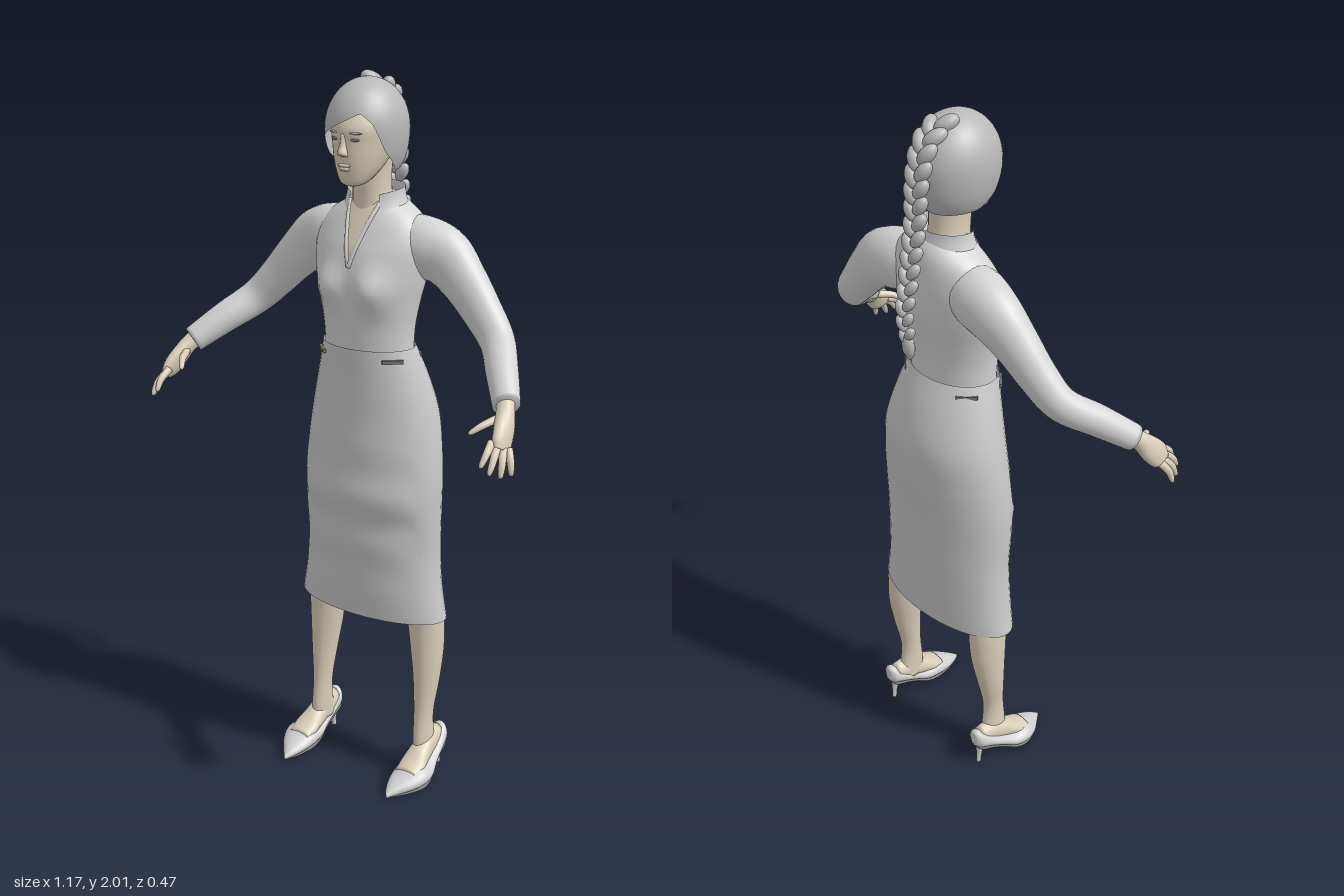
import * as THREE from 'three';

const V = (x, y, z) => new THREE.Vector3(x, y, z);
const X = V(1, 0, 0), Y = V(0, 1, 0), Z = V(0, 0, 1);
const mat = (name, color) => new THREE.MeshStandardMaterial({ name, color, side: THREE.DoubleSide });

// Catmull-Rom value of a list of rows at t in 0..1
function sample(rows, t) {
  const f = t * (rows.length - 1), i = Math.min(Math.floor(f), rows.length - 2), k = f - i;
  const at = (j) => rows[Math.max(0, Math.min(rows.length - 1, j))];
  return rows[0].map((_, c) => {
    const [a, b, d, e] = [at(i - 1)[c], at(i)[c], at(i + 1)[c], at(i + 2)[c]];
    return b + 0.5 * k * (d - a + k * (2 * a - 5 * b + 4 * d - e + k * (3 * (b - d) + e - a)));
  });
}

// Indexed surface from a grid of points
function grid(nu, nv, point, wrap = false) {
  const pos = [], idx = [], cols = wrap ? nv : nv + 1;
  for (let i = 0; i <= nu; i++) for (let j = 0; j < cols; j++) pos.push(...point(i / nu, j / nv).toArray());
  for (let i = 0; i < nu; i++) for (let j = 0; j < nv; j++) {
    const a = i * cols + j, b = i * cols + (j + 1) % cols;
    idx.push(a, b, a + cols, b, b + cols, a + cols);
  }
  const g = new THREE.BufferGeometry();
  g.setAttribute('position', new THREE.Float32BufferAttribute(pos, 3));
  g.setIndex(idx);
  g.computeVertexNormals();
  return g;
}

// Elliptical loft through rows [x, y, z, radiusU, radiusV]; zero-size end rings close it
function loft(rows, { u, v, steps = 36, seg = 28, open = false, bend } = {}) {
  const centre = (t) => V(...sample(rows, t).slice(0, 3));
  const extra = open ? 0 : 1, total = steps + 2 * extra;
  return grid(total, seg, (s, q) => {
    const i = Math.round(s * total), t = Math.max(0, Math.min(1, (i - extra) / steps));
    const r = sample(rows, t), size = !open && (i === 0 || i === total) ? 0 : 1;
    let du = u, dv = v;
    if (!u) {
      const T = centre(Math.min(1, t + 0.01)).sub(centre(Math.max(0, t - 0.01))).normalize();
      du = Z.clone().addScaledVector(T, -T.z).normalize();
      dv = T.clone().cross(du);
    }
    const a = q * Math.PI * 2;
    const p = V(r[0], r[1], r[2])
      .addScaledVector(du, Math.max(0, r[3]) * Math.cos(a) * size)
      .addScaledVector(dv, Math.max(0, r[4]) * Math.sin(a) * size);
    if (bend) bend(p);
    return p;
  }, true);
}
const up = (y, rx, zf, zb, x = 0) => [x, y, (zf + zb) / 2, (zf - zb) / 2, rx];
const upright = { u: Z, v: X };

export function createModel() {
  const root = new THREE.Group();
  const skin = mat('skin', 0xd9ceb8), shirt = mat('shirt', 0xd4d4d4), skirt = mat('skirt', 0xc9c9c9);
  const hair = mat('hair', 0xb8b8b8), shoe = mat('shoe', 0xd0d0d0), sole = mat('sole', 0x808080);
  const dark = mat('dark detail', 0x77726a);
  const add = (name, geo, m) => {
    const mesh = new THREE.Mesh(geo, m);
    mesh.name = name;
    root.add(mesh);
    return mesh;
  };
  const blob = (name, m, p, s) => {
    const b = add(name, new THREE.SphereGeometry(1, 14, 10), m);
    b.position.set(...p);
    b.scale.set(...s);
    return b;
  };

  // Skirt with soft folds, open at the hem
  add('skirt', loft([up(0.5, 0.24, 0.035, -0.18), up(0.6, 0.222, 0.042, -0.185), up(0.7, 0.214, 0.045, -0.19),
    up(0.8, 0.215, 0.055, -0.193), up(0.9, 0.215, 0.06, -0.2), up(1.0, 0.207, 0.055, -0.208),
    up(1.1, 0.192, 0.05, -0.21), up(1.2, 0.165, 0.05, -0.185), up(1.29, 0.137, 0.052, -0.147)],
  { ...upright, open: true, steps: 48, seg: 40, bend: (p) => {
    if (p.z > 0) p.z += 0.006 * Math.sin(p.y * 38) * Math.exp(-(((p.y - 0.82) / 0.15) ** 2));
  } }), skirt);
  for (const s of [-1, 1]) for (const f of [-1, 1]) {
    const slot = add('pocketSlot', new THREE.BoxGeometry(0.058, 0.01, 0.008), dark);
    slot.position.set(0.116 * s, 1.262, f > 0 ? 0.012 : -0.112);
    slot.rotation.y = 0.75 * s * f;
  }

  // Blouse body with bust
  const body = [up(1.27, 0.131, 0.046, -0.142), up(1.34, 0.135, 0.05, -0.145), up(1.41, 0.147, 0.054, -0.155),
    up(1.48, 0.163, 0.054, -0.168), up(1.55, 0.172, 0.042, -0.173), up(1.6, 0.165, 0.02, -0.17),
    up(1.64, 0.135, 0, -0.165), up(1.67, 0.09, -0.015, -0.157), up(1.69, 0.065, -0.025, -0.145)];
  add('blouse', loft(body, { ...upright, steps: 44, seg: 44, bend: (p) => {
    if (p.z > -0.02) p.z += 0.032 * Math.exp(-(((Math.abs(p.x) - 0.07) / 0.048) ** 2) - ((p.y - 1.455) / 0.055) ** 2);
  } }), shirt);
  const chestZ = (x, y) => {
    let lo = 0, hi = 1;
    for (let i = 0; i < 24; i++) sample(body, (lo + hi) / 2)[1] < y ? (lo = (lo + hi) / 2) : (hi = (lo + hi) / 2);
    const r = sample(body, lo);
    return r[2] + r[3] * Math.sqrt(Math.max(0, 1 - (x / r[4]) ** 2));
  };

  // Bare V at the neckline and the edging along it
  add('neckline', grid(14, 8, (t, q) => {
    const y = 1.515 + 0.17 * t, x = (q * 2 - 1) * 0.046 * t;
    return V(x, y, chestZ(x, y) + 0.004);
  }), skin);
  for (const s of [-1, 1]) add('lapelEdge', loft([0, 0.25, 0.5, 0.75, 1].map((t) => {
    const x = s * 0.047 * t, y = 1.512 + 0.165 * t;
    return [x, y, chestZ(x, y) + 0.003, 0.005, 0.006];
  }), { seg: 8, steps: 12 }), shirt);

  // Folded collar, open at the front
  add('collar', grid(6, 32, (t, q) => {
    const a = (q * 2 - 1) * 2.55, front = Math.abs(q * 2 - 1) ** 3, flare = 1 - 0.16 * Math.sin(t * Math.PI / 2);
    return V(Math.sin(a) * 0.098 * flare, 1.648 + t * (0.068 - 0.018 * front), -0.078 - Math.cos(a) * 0.078 * flare);
  }), shirt);

  // Neck and head
  add('neck', loft([up(1.62, 0.065, -0.005, -0.14), up(1.68, 0.053, -0.005, -0.12), up(1.73, 0.05, 0, -0.115),
    up(1.8, 0.055, 0.01, -0.12)], upright), skin);
  add('head', loft([up(1.727, 0.02, 0.05, 0.01), up(1.737, 0.037, 0.062, -0.02), up(1.765, 0.056, 0.068, -0.06),
    up(1.8, 0.07, 0.072, -0.1), up(1.84, 0.079, 0.074, -0.13), up(1.88, 0.082, 0.076, -0.14),
    up(1.93, 0.07, 0.05, -0.12), up(1.965, 0.045, 0.015, -0.08)], upright), skin);
  add('nose', loft([[0, 1.806, 0.068, 0.006, 0.012], [0, 1.815, 0.076, 0.016, 0.014], [0, 1.835, 0.073, 0.011, 0.009],
    [0, 1.865, 0.07, 0.008, 0.007]], { ...upright, seg: 12, steps: 10 }), skin);
  blob('upperLip', skin, [0, 1.783, 0.069], [0.02, 0.005, 0.007]);
  blob('lowerLip', skin, [0, 1.774, 0.067], [0.017, 0.006, 0.007]);
  for (const s of [-1, 1]) {
    blob('eye', dark, [s * 0.032, 1.85, 0.0665], [0.013, 0.004, 0.004]).rotation.y = s * 0.35;
    blob('eyebrow', hair, [s * 0.034, 1.867, 0.068], [0.018, 0.003, 0.004]).rotation.y = s * 0.35;
  }

  // Hair cap: its lower edge sweeps across the brow and falls at the sides
  const edge = [[-3.15, 1.755], [-1.6, 1.765], [-1.15, 1.8], [-0.9, 1.845], [0, 1.893], [0.5, 1.918],
    [0.8, 1.89], [1.1, 1.82], [1.6, 1.765], [3.15, 1.755]];
  add('hairCap', grid(26, 72, (t, q) => {
    const a = (q * 2 - 1) * Math.PI, k = Math.max(1, edge.findIndex((e) => e[0] >= a));
    const [a0, y0] = edge[k - 1], [a1, y1] = edge[k];
    const low = y0 + (y1 - y0) * (a - a0) / (a1 - a0);
    const th = t * Math.acos((low - 1.868) / 0.13);
    const r = th < Math.PI / 2 ? Math.sin(th) : Math.sqrt(Math.sin(th));
    return V(Math.sin(a) * 0.106 * r, 1.868 + 0.13 * Math.cos(th), -0.036 + Math.cos(a) * 0.122 * r);
  }).scale(1, 1, 1), hair);

  // Plait of tilted paired strands, tied off with a tuft
  const plait = new THREE.CatmullRomCurve3([V(0, 1.983, -0.085), V(0, 1.945, -0.135), V(0, 1.87, -0.163),
    V(0, 1.735, -0.176), V(0, 1.6, -0.2), V(0, 1.5, -0.216), V(0, 1.43, -0.207)]);
  const plaitRows = 14;
  for (let i = 0; i < plaitRows; i++) for (const s of [-1, 1]) {
    const t = Math.min(1, (i + (s > 0 ? 0.5 : 0)) / (plaitRows - 0.5)), w = 1 - 0.35 * t, p = plait.getPointAt(t);
    const strand = blob('plaitStrand', hair, [s * 0.019 * w, p.y, p.z], [0.02 * w, 0.035 * w, 0.021 * w]);
    strand.quaternion.setFromUnitVectors(Y, plait.getTangentAt(t).negate());
    strand.rotateZ(-s * 0.55);
  }
  add('plaitTuft', loft([[0, 1.365, -0.2, 0.003, 0.003], [0, 1.39, -0.203, 0.014, 0.018], [0, 1.42, -0.206, 0.015, 0.018],
    [0, 1.44, -0.207, 0.009, 0.01]], { ...upright, seg: 10, steps: 10 }), hair);

  for (const s of [-1, 1]) {
    const side = s > 0 ? 'left' : 'right';
    const mir = (rows) => rows.map(([x, ...r]) => [x * s, ...r]);
    const part = (name, rows, m, opt) => add(side + name, loft(mir(rows), opt), m);

    // Sleeve, palm and fingers
    part('Sleeve', [[0.07, 1.57, -0.085, 0.06, 0.075], [0.14, 1.56, -0.09, 0.072, 0.084], [0.205, 1.54, -0.098, 0.064, 0.08],
      [0.27, 1.485, -0.09, 0.054, 0.066], [0.335, 1.415, -0.078, 0.047, 0.056], [0.395, 1.352, -0.055, 0.043, 0.049],
      [0.452, 1.3, 0.015, 0.041, 0.044], [0.512, 1.24, 0.092, 0.035, 0.037]], shirt, { steps: 44 });
    part('Palm', [[0.5, 1.252, 0.078, 0.024, 0.026], [0.517, 1.23, 0.105, 0.024, 0.024], [0.532, 1.195, 0.135, 0.034, 0.022],
      [0.541, 1.165, 0.162, 0.034, 0.018], [0.548, 1.15, 0.175, 0.022, 0.012]], skin, { seg: 18, steps: 16 });
    const fingers = [[0.526, 1.172, 0.183, 0.527, 1.122, 0.238], [0.539, 1.162, 0.179, 0.549, 1.105, 0.233],
      [0.55, 1.155, 0.168, 0.568, 1.094, 0.209], [0.557, 1.152, 0.153, 0.582, 1.094, 0.179],
      [0.508, 1.215, 0.125, 0.468, 1.187, 0.198]];
    fingers.forEach(([x, y, z, a, b, c], i) => part(i < 4 ? 'Finger' : 'Thumb', [[x, y, z, 0.011, 0.011],
      [(x + a) / 2 + 0.003, (y + b) / 2 + 0.004, (z + c) / 2 + 0.003, 0.01, 0.01],
      [x + (a - x) * 0.9, y + (b - y) * 0.9, z + (c - z) * 0.9, 0.007, 0.007],
      [a, b, c, 0.003, 0.003]], skin, { seg: 10, steps: 10 }));

    // Leg and foot
    part('Leg', [up(0.07, 0.027, -0.025, -0.12, 0.184), up(0.12, 0.026, -0.025, -0.106, 0.182), up(0.2, 0.027, -0.034, -0.1, 0.181),
      up(0.3, 0.037, -0.036, -0.122, 0.181), up(0.4, 0.047, -0.033, -0.14, 0.177), up(0.5, 0.053, -0.026, -0.14, 0.171),
      up(0.6, 0.056, -0.01, -0.13, 0.158), up(0.75, 0.07, 0.01, -0.145, 0.135), up(0.92, 0.085, 0.03, -0.17, 0.105)], skin, upright);
    part('Foot', [[0.192, 0.045, 0.045, 0.016, 0.034], [0.192, 0.055, 0.01, 0.025, 0.04], [0.19, 0.07, -0.025, 0.034, 0.035],
      [0.188, 0.088, -0.07, 0.04, 0.03], [0.187, 0.1, -0.13, 0.03, 0.023]], skin, { u: Y, v: X, seg: 18, steps: 16 });

    // Pointed shoe: z, x, half width, underside, top
    const last = [[0.127, 0.182, 0.003, 0.005, 0.014], [0.1, 0.185, 0.022, 0.003, 0.032], [0.06, 0.193, 0.044, 0.003, 0.05],
      [0.02, 0.198, 0.054, 0.003, 0.065], [-0.02, 0.198, 0.05, 0.01, 0.064], [-0.06, 0.195, 0.04, 0.032, 0.078],
      [-0.1, 0.192, 0.035, 0.052, 0.1], [-0.14, 0.19, 0.028, 0.066, 0.13], [-0.154, 0.19, 0.012, 0.08, 0.125]];
    part('Shoe', last.map(([z, x, w, lo, hi]) => [x, (lo + hi) / 2, z, (hi - lo) / 2, w]), shoe, { u: Y, v: X });
    part('Sole', last.map(([z, x, w, lo]) => [x, lo + 0.002, z, 0.004, w * 0.85]), sole, { u: Y, v: X });
    part('Heel', [[0.19, 0, -0.134, 0.007, 0.007], [0.19, 0.03, -0.132, 0.008, 0.008], [0.19, 0.06, -0.128, 0.014, 0.013],
      [0.19, 0.085, -0.125, 0.024, 0.022]], shoe, { ...upright, seg: 14, steps: 12 });
  }
  return root;
}
